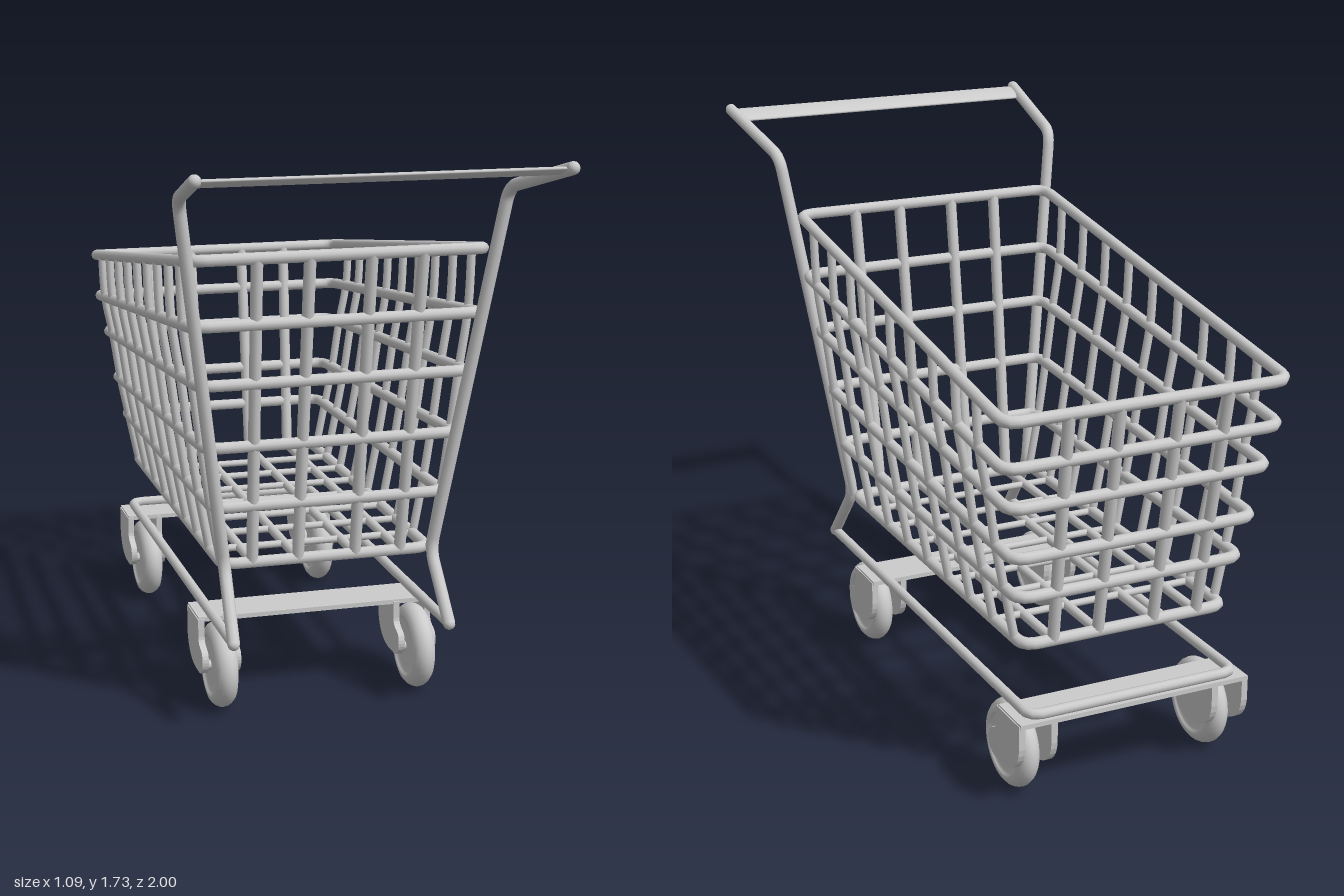
import * as THREE from 'three';

const material = new THREE.MeshStandardMaterial({ color: 0xcccccc, side: THREE.DoubleSide });
const V = (x, y, z) => new THREE.Vector3(x, y, z);

function add(parent, name, geometry) {
  const mesh = new THREE.Mesh(geometry, material);
  mesh.name = name;
  parent.add(mesh);
  return mesh;
}

// Path of straight runs whose corners are rounded off over the distance r
function roundedPath(pts, r, closed = false) {
  const path = new THREE.CurvePath();
  const n = pts.length;
  const toward = (a, b) => a.clone().add(b.clone().sub(a).setLength(Math.min(r, a.distanceTo(b) * 0.45)));
  let last = closed ? toward(pts[0], pts[n - 1]) : pts[0];
  for (let i = closed ? 0 : 1; i < (closed ? n : n - 1); i++) {
    const p = pts[i];
    const start = toward(p, pts[(i + n - 1) % n]);
    const end = toward(p, pts[(i + 1) % n]);
    if (last.distanceTo(start) > 1e-5) path.add(new THREE.LineCurve3(last, start));
    path.add(new THREE.QuadraticBezierCurve3(start, p, end));
    last = end;
  }
  const finish = closed ? toward(pts[0], pts[n - 1]) : pts[n - 1];
  path.add(new THREE.LineCurve3(last, finish));
  return path;
}

// Straight capped wire between two points
function rod(parent, name, a, b, r) {
  const mesh = add(parent, name, new THREE.CylinderGeometry(r, r, a.distanceTo(b), 10));
  mesh.position.copy(a).add(b).multiplyScalar(0.5);
  mesh.quaternion.setFromUnitVectors(V(0, 1, 0), b.clone().sub(a).normalize());
  return mesh;
}

// Basket hoops from bottom to top: half width, front z and y, back z and y
const hoops = [
  [0.325, 0.425, 0.485, -0.864, 0.485],
  [0.358, 0.455, 0.67, -0.893, 0.645],
  [0.385, 0.482, 0.86, -0.916, 0.775],
  [0.410, 0.513, 1.055, -0.943, 0.935],
  [0.435, 0.540, 1.235, -0.960, 1.06],
  [0.443, 0.562, 1.43, -0.980, 1.20],
];

function createBasket() {
  const basket = new THREE.Group();
  basket.name = 'basket';
  for (const [w, zf, yf, zb, yb] of hoops) {
    const corners = [V(w, yf, zf), V(w, yb, zb), V(-w, yb, zb), V(-w, yf, zf)];
    add(basket, 'basketHoop', new THREE.TubeGeometry(roundedPath(corners, 0.045, true), 200, 0.018, 10, true));
  }

  // Upright side wires, threaded through every hoop
  for (let i = 0; i < 9; i++) {
    const z = i < 8 ? 0.43 - i * 0.157 : -0.81;
    for (const s of [1, -1]) {
      const pts = hoops.map(([w, zf, yf, zb, yb]) => {
        const t = (zf - z) / (zf - zb);
        return V(s * (w + 0.003), yf + (yb - yf) * t, z);
      });
      add(basket, 'sideWire', new THREE.TubeGeometry(new THREE.CatmullRomCurve3(pts), 20, 0.014, 8));
    }
    // Cross wires of the floor
    if (i > 0 && i < 8) rod(basket, 'floorCrossWire', V(-0.325, 0.485, z), V(0.325, 0.485, z), 0.011);
  }

  // Front and back wires, joined by long floor wires
  const low = hoops[0], top = hoops[5];
  for (const [x0, x1] of [[0.233, 0.25], [0.09, 0.093], [-0.09, -0.093], [-0.233, -0.25]]) {
    rod(basket, 'frontWire', V(x0, low[2], low[1]), V(x1, top[2], top[1]), 0.018);
    rod(basket, 'backWire', V(x0, low[4], low[3]), V(x1, top[4], top[3]), 0.018);
    rod(basket, 'floorLongWire', V(x0, low[2], low[1]), V(x0, low[4], low[3]), 0.015);
  }
  return basket;
}

function createFrame() {
  const frame = new THREE.Group();
  frame.name = 'frame';
  // One bent tube per side: handle arm, post and foot
  for (const s of [1, -1]) {
    const pts = [
      V(s * 0.525, 1.71, 0.98), V(s * 0.488, 1.615, 0.615),
      V(s * 0.325, 0.485, 0.452), V(s * 0.335, 0.295, 0.6),
    ];
    add(frame, 'post', new THREE.TubeGeometry(roundedPath(pts, 0.045), 120, 0.019, 10));
    for (const p of [pts[0], pts[3]]) {
      add(frame, 'postEnd', new THREE.SphereGeometry(0.019, 10, 8)).position.copy(p);
    }
  }
  // U-shaped base rail, open at the front
  const base = [V(0.335, 0.295, 0.6), V(0.335, 0.295, -0.925), V(-0.335, 0.295, -0.925), V(-0.335, 0.295, 0.6)];
  add(frame, 'baseRail', new THREE.TubeGeometry(roundedPath(base, 0.04), 160, 0.016, 10));

  // Flat oval push handle, tilted with the arms
  const grip = new THREE.CylinderGeometry(1, 1, 1.05, 20);
  grip.rotateZ(Math.PI / 2);
  grip.scale(1, 0.01, 0.047);
  grip.rotateX(-0.26);
  add(frame, 'handle', grip).position.set(0, 1.698, 0.936);
  return frame;
}

function createCaster() {
  const caster = new THREE.Group();
  caster.name = 'caster';
  // Wheel turned around its axle: domed hub, groove and round tyre
  const half = [[0, 0.028], [0.06, 0.027], [0.088, 0.025], [0.09, 0.034], [0.1, 0.036],
    [0.114, 0.032], [0.125, 0.022], [0.131, 0.011]];
  const profile = [...half.map(([r, x]) => [r, -x]), [0.133, 0], ...half.slice().reverse()];
  const wheel = new THREE.LatheGeometry(profile.map(([r, x]) => new THREE.Vector2(r, x)), 36);
  wheel.rotateZ(Math.PI / 2);
  add(caster, 'wheel', wheel).position.y = 0.135;

  // Curved fork plates either side of the wheel
  const shape = new THREE.Shape();
  shape.moveTo(-0.17, 0.275);
  shape.lineTo(-0.17, 0.2);
  shape.bezierCurveTo(-0.165, 0.14, -0.12, 0.112, -0.065, 0.108);
  shape.lineTo(-0.01, 0.108);
  shape.bezierCurveTo(0.03, 0.108, 0.045, 0.15, 0.032, 0.175);
  shape.bezierCurveTo(0.025, 0.195, -0.018, 0.19, -0.018, 0.22);
  shape.lineTo(-0.018, 0.275);
  const plate = new THREE.ExtrudeGeometry(shape, { depth: 0.02, bevelEnabled: false, curveSegments: 8 });
  plate.translate(0, 0, -0.01);
  plate.rotateY(-Math.PI / 2);
  for (const s of [1, -1]) add(caster, 'forkPlate', plate).position.x = s * 0.051;
  rod(caster, 'axle', V(-0.055, 0.135, 0), V(0.055, 0.135, 0), 0.015);
  return caster;
}

export function createModel() {
  const cart = new THREE.Group();
  cart.name = 'shoppingCart';
  cart.add(createBasket(), createFrame());
  // Two axles, each a flat plate carrying a pair of casters
  for (const z of [0.333, -0.77]) {
    add(cart, 'axlePlate', new THREE.BoxGeometry(0.745, 0.014, 0.15)).position.set(0, 0.273, z - 0.1);
    for (const s of [1, -1]) {
      const caster = createCaster();
      caster.position.set(s * 0.315, 0, z);
      cart.add(caster);
    }
  }
  return cart;
}
